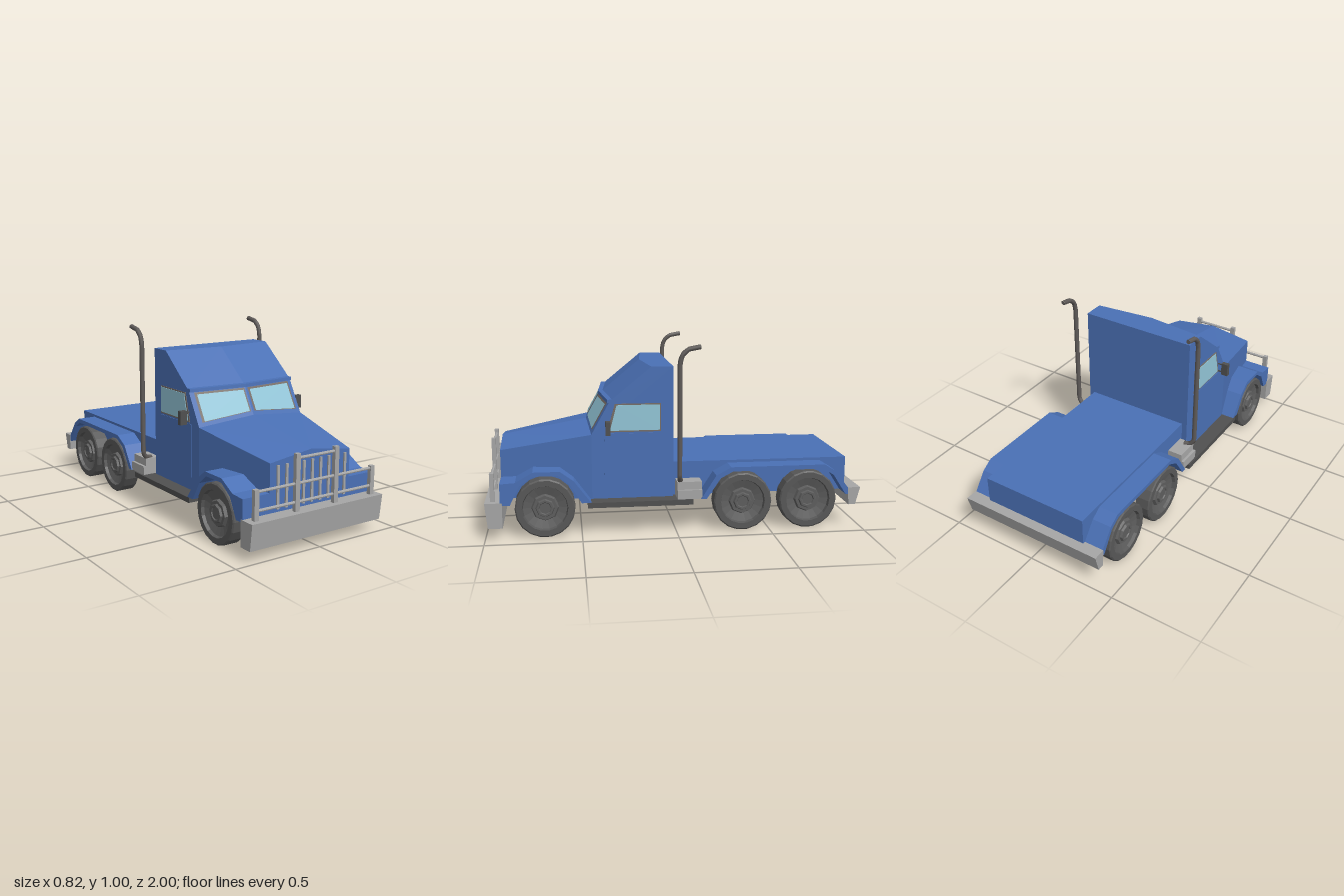
import * as THREE from 'three';
import { ConvexGeometry } from 'three/addons/geometries/ConvexGeometry.js';

const material = (name, color, extra = {}) => {
  const m = new THREE.MeshStandardMaterial({ color, ...extra });
  m.name = name;
  return m;
};

export function createModel() {
  const flat = { flatShading: true };
  const open = { side: THREE.DoubleSide };
  const blue = material('blue paint', 0x4a70b5, flat);
  const steel = material('pale steel', 0xa6a6a6, flat);
  const rubber = material('tyre rubber', 0x585858, flat);
  const rimGrey = material('rim grey', 0x5e5e5e, flat);
  const innerGrey = material('inner wheel grey', 0x857d7a, { ...flat, ...open });
  const trim = material('window trim', 0x766d67, open);
  const glass = material('window glass', 0x93c6d8, open);
  const underside = material('chassis dark', 0x505050, flat);
  const pipeGrey = material('exhaust grey', 0x5f5b59);

  const truck = new THREE.Group();
  truck.name = 'truck';
  const add = (name, geometry, mat) => {
    const mesh = new THREE.Mesh(geometry, mat);
    mesh.name = name;
    truck.add(mesh);
    return mesh;
  };
  // Box given by its limits on each axis
  const box = (name, mat, x0, x1, y0, y1, z0, z1) =>
    add(name, new THREE.BoxGeometry(x1 - x0, y1 - y0, z1 - z0)
      .translate((x0 + x1) / 2, (y0 + y1) / 2, (z0 + z1) / 2), mat);
  // Convex solid from points, each mirrored in x
  const hull = (name, mat, points) => {
    const all = points.flatMap(([x, y, z]) => x === 0
      ? [new THREE.Vector3(0, y, z)]
      : [new THREE.Vector3(x, y, z), new THREE.Vector3(-x, y, z)]);
    return add(name, new ConvexGeometry(all), mat);
  };
  const outline = (pts) => new THREE.Shape(pts.map(([a, b]) => new THREE.Vector2(a, b)));
  // Outline in (z, y) extruded across x
  const sidePiece = (name, mat, pts, x0, x1) =>
    add(name, new THREE.ExtrudeGeometry(outline(pts), { depth: x1 - x0, bevelEnabled: false })
      .rotateY(-Math.PI / 2).translate(x1, 0, 0), mat);

  // Sloping, V-shaped windscreen surface
  const screenZ = (x, y) => 0.378 - 0.1 * Math.abs(x) + (0.7 - y) * 0.56;

  // Cab, hood, visor and bed
  const W = 0.33;
  hull('cab', blue, [
    [W, 0.18, 0.01], [W, 0.88, 0.01], [W, 0.88, 0.125], [0, 0.88, 0.16],
    [W, 0.7, screenZ(W, 0.7)], [0, 0.7, screenZ(0, 0.7)],
    [W, 0.526, screenZ(W, 0.526)], [0, 0.556, screenZ(0, 0.556)],
    [W, 0.18, screenZ(W, 0.526)], [0, 0.18, screenZ(0, 0.556)],
  ]);
  hull('hood', blue, [
    [W, 0.526, screenZ(W, 0.526)], [0, 0.556, screenZ(0, 0.556)], [W, 0.18, screenZ(W, 0.526)],
    [0.25, 0.44, 0.92], [0, 0.475, 0.92], [0.25, 0.18, 0.92],
  ]);
  hull('visor', blue, [W, 0].flatMap((x) => {
    const z = screenZ(x, 0.7);
    return [[x, 0.712, z - 0.03], [x, 0.71, z + 0.012], [x, 0.693, z + 0.014], [x, 0.693, z - 0.03]];
  }));
  box('bed', blue, -0.3, 0.3, 0.18, 0.362, -0.947, 0.01);

  // Windscreen panes, bent onto the sloping surface
  const pane = (name, mat, pts, s, lift) => {
    const g = new THREE.ShapeGeometry(outline(pts.map(([x, y]) => [x * s, y])));
    const p = g.attributes.position;
    for (let i = 0; i < p.count; i++) p.setZ(i, screenZ(p.getX(i), p.getY(i)) + lift);
    g.computeVertexNormals();
    // Panes face forward whichever way the outline was mirrored
    if (g.attributes.normal.getZ(0) < 0) {
      g.setIndex(Array.from(g.index.array).reverse());
      g.computeVertexNormals();
    }
    add(name, g, mat);
  };
  // Thin flat plate on the side of the cab
  const sidePlate = (name, mat, pts, s, thick) =>
    sidePiece(name, mat, pts, s > 0 ? W : -W - thick, s > 0 ? W + thick : -W);

  // Fender arches: outer line, then inner line back again
  const frontArch = [
    [0.92, 0.18], [0.92, 0.295], [0.84, 0.3], [0.75, 0.352], [0.61, 0.352], [0.54, 0.3], [0.45, 0.18],
    [0.5, 0.18], [0.56, 0.28], [0.62, 0.33], [0.75, 0.33], [0.82, 0.28], [0.87, 0.18],
  ];
  const rearArch = [
    [-0.13, 0.18], [-0.21, 0.305], [-0.29, 0.348], [-0.8, 0.348], [-0.86, 0.31], [-0.945, 0.2], [-0.945, 0.18],
    [-0.92, 0.18], [-0.85, 0.29], [-0.79, 0.325], [-0.3, 0.325], [-0.235, 0.29], [-0.16, 0.18],
  ];

  // Wheel made of turned profiles (radius, distance outward)
  const turned = (name, pts, sides, mat, s, z) =>
    add(name, new THREE.LatheGeometry(pts.map(([r, h]) => new THREE.Vector2(r, h)), sides)
      .rotateZ(-s * Math.PI / 2).translate(s * 0.363, 0.157, z), mat);
  const wheel = (s, z) => {
    turned('tyre', [[0.135, -0.042], [0.157, -0.038], [0.157, 0.036], [0.15, 0.042], [0.12, 0.042], [0.115, 0.025]],
      18, rubber, s, z);
    turned('rim', [[0.115, 0.025], [0.07, 0.012], [0, 0.012]], 18, rimGrey, s, z);
    turned('innerRim', [[0, -0.005], [0.12, -0.005], [0.135, -0.042]], 18, innerGrey, s, z);
    turned('hub', [[0.074, 0.01], [0.066, 0.028], [0.05, 0.028], [0.045, 0.04], [0.034, 0.04], [0.03, 0.034], [0, 0.034]],
      8, rimGrey, s, z);
  };

  for (const s of [1, -1]) {
    const span = (a, b) => (s > 0 ? [a, b] : [-b, -a]);

    pane('windscreenFrame', trim, [[0.01, 0.575], [0.305, 0.548], [0.305, 0.69], [0.01, 0.69]], s, 0.004);
    pane('windscreen', glass, [[0.02, 0.578], [0.293, 0.553], [0.293, 0.681], [0.02, 0.681]], s, 0.008);
    sidePlate('sideWindowFrame', trim, [[0.075, 0.538], [0.36, 0.538], [0.318, 0.688], [0.075, 0.688]], s, 0.003);
    sidePlate('sideWindow', glass, [[0.082, 0.546], [0.345, 0.546], [0.309, 0.681], [0.082, 0.681]], s, 0.006);
    sidePlate('door', blue, [[0.075, 0.25], [0.375, 0.25], [0.375, 0.53], [0.075, 0.53]], s, 0.003);

    sidePiece('frontFender', blue, frontArch, ...span(0.25, 0.407));
    sidePiece('rearFender', blue, rearArch, ...span(0.29, 0.407));
    for (const z of [0.69, -0.355, -0.712]) wheel(s, z);

    // Side step with the exhaust rising from it
    box('stepBox', steel, ...span(0.29, 0.385), 0.225, 0.27, -0.137, -0.005);
    box('stepBoxBase', steel, ...span(0.29, 0.4), 0.18, 0.228, -0.137, -0.005);
    const path = new THREE.CurvePath();
    const route = [[0.34, 0.27, -0.03], [0.375, 0.275, -0.02], [0.394, 0.3, -0.016], [0.394, 0.9, -0.016],
      [0.394, 0.945, -0.027], [0.394, 0.975, -0.06], [0.394, 0.987, -0.125]]
      .map(([x, y, z]) => new THREE.Vector3(s * x, y, z));
    for (let i = 1; i < route.length; i++) path.add(new THREE.LineCurve3(route[i - 1], route[i]));
    add('exhaustPipe', new THREE.TubeGeometry(path, 40, 0.013, 8), pipeGrey);
    add('exhaustTip', new THREE.CircleGeometry(0.013, 8).rotateY(Math.PI)
      .translate(s * 0.394, 0.987, -0.125), pipeGrey);

    // Door mirror on two thin arms
    box('mirror', underside, ...span(0.357, 0.395), 0.532, 0.604, 0.345, 0.37);
    for (const y of [0.545, 0.592]) box('mirrorArm', underside, ...span(0.325, 0.36), y - 0.003, y + 0.003, 0.352, 0.358);

    // Uprights of the front guard
    box('guardInnerPost', steel, ...span(0.108, 0.134), 0.19, 0.48, 0.95, 0.972);
    box('guardOuterPost', steel, ...span(0.35, 0.376), 0.19, 0.345, 0.95, 0.972);
  }

  // Front guard rails and grille slats
  for (const [y, half] of [[0.24, 0.36], [0.332, 0.36], [0.456, 0.12]]) {
    add('guardRail', new THREE.CylinderGeometry(0.008, 0.008, half * 2, 8)
      .rotateZ(Math.PI / 2).translate(0, y, 0.961), steel);
  }
  for (let i = -4; i <= 4; i++) {
    const x = i * 0.0525 + 0.006;
    box('grilleSlat', steel, x - 0.007, x + 0.007, 0.21, 0.426, 0.915, 0.928);
  }

  // Bumpers, floor plate and rear axles
  sidePiece('frontBumper', steel, [[0.91, 0.06], [0.985, 0.06], [1, 0.195], [0.91, 0.195]], -0.41, 0.41);
  sidePiece('rearBumper', steel, [[-0.975, 0.122], [-0.938, 0.122], [-0.932, 0.217], [-1, 0.217]], -0.41, 0.41);
  box('floorPlate', underside, -0.41, 0.41, 0.152, 0.18, -0.088, 0.468);
  for (const z of [-0.355, -0.712]) {
    add('rearAxle', new THREE.CylinderGeometry(0.02, 0.02, 0.71, 8)
      .rotateZ(Math.PI / 2).translate(0, 0.157, z), underside);
  }
  return truck;
}
